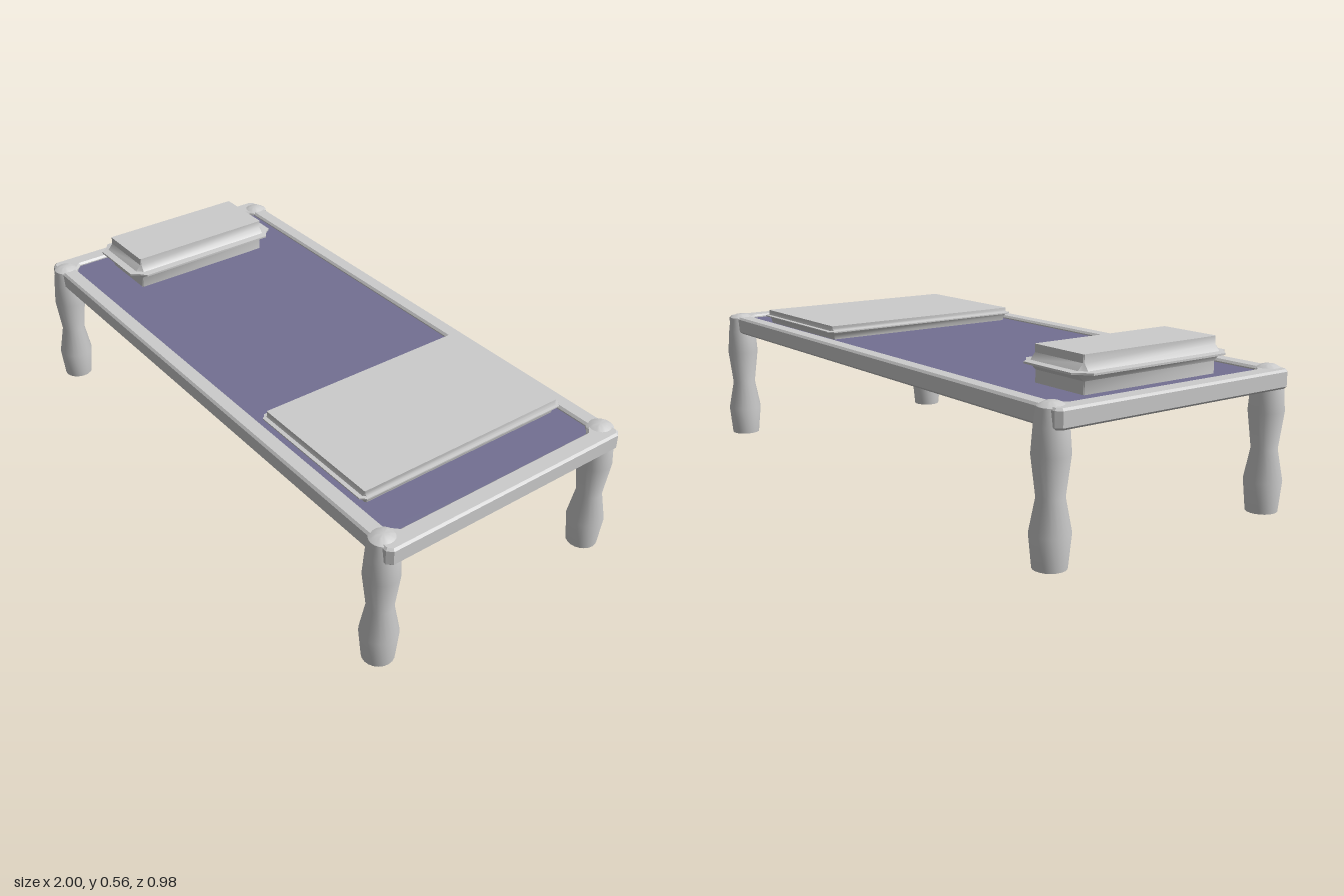
import * as THREE from 'three';
import { toCreasedNormals } from 'three/addons/utils/BufferGeometryUtils.js';

const grey = new THREE.MeshStandardMaterial({ color: 0xcccccc });
const cloth = new THREE.MeshStandardMaterial({ color: 0x737092 });

function add(parent, name, geometry, material = grey) {
  const mesh = new THREE.Mesh(geometry, material);
  mesh.name = name;
  parent.add(mesh);
  return mesh;
}

// Rectangle outline with chamfered corners
function outline(hx, hz, c, Type = THREE.Shape) {
  return new Type([
    [hx, hz - c], [hx - c, hz], [c - hx, hz], [-hx, hz - c],
    [-hx, c - hz], [c - hx, -hz], [hx - c, -hz], [hx, c - hz],
  ].map(([x, y]) => new THREE.Vector2(x, y)));
}

// Lofted cushion: each level is [y, half x, half z, corner notch]
function cushion(levels) {
  const pos = [], index = [], n = 12;
  for (const [y, hx, hz, k] of levels) {
    const corner = [[hx, hz - k], [hx - k * 0.65, hz - k * 0.5], [hx - k, hz]];
    for (let q = 0; q < 4; q++) {
      const sx = q === 0 || q === 3 ? 1 : -1, sz = q < 2 ? 1 : -1;
      const pts = q % 2 ? [...corner].reverse() : corner;
      for (const [x, z] of pts) pos.push(x * sx, y, z * sz);
    }
  }
  for (let r = 0; r < levels.length - 1; r++) {
    for (let i = 0; i < n; i++) {
      const a = r * n + i, b = r * n + (i + 1) % n;
      index.push(a, a + n, b, b, a + n, b + n);
    }
  }
  // Bottom and top caps
  const top = (levels.length - 1) * n, mid = pos.length / 3;
  pos.push(0, levels[0][0], 0, 0, levels[levels.length - 1][0], 0);
  for (let i = 0; i < n; i++) {
    const j = (i + 1) % n;
    index.push(mid, i, j, mid + 1, top + j, top + i);
  }
  const geo = new THREE.BufferGeometry();
  geo.setAttribute('position', new THREE.Float32BufferAttribute(pos, 3));
  geo.setIndex(index);
  return toCreasedNormals(geo, 0.7);
}

export function createModel() {
  const group = new THREE.Group();

  // Bed frame with a softened edge and an open middle
  const bevel = 0.007;
  const frameShape = outline(0.998 - bevel, 0.457 - bevel, 0.012);
  frameShape.holes.push(outline(0.935 + bevel, 0.4 + bevel, 0.035, THREE.Path));
  const frameGeo = new THREE.ExtrudeGeometry(frameShape, {
    depth: 0.06 - 2 * bevel, bevelEnabled: true, bevelSize: bevel, bevelThickness: bevel, bevelSegments: 1,
  });
  frameGeo.rotateX(-Math.PI / 2);
  add(group, 'frame', frameGeo).position.y = 0.396 + bevel;

  // Stretched cloth panel
  const panelGeo = new THREE.ExtrudeGeometry(outline(0.942, 0.407, 0.036), { depth: 0.012, bevelEnabled: false });
  panelGeo.rotateX(-Math.PI / 2);
  add(group, 'clothPanel', panelGeo, cloth).position.y = 0.433;

  // Turned legs with domed tops
  const profile = [
    [0, 0], [0.05, 0], [0.06, 0.1], [0.041, 0.2], [0.056, 0.32],
    [0.05, 0.4], [0.043, 0.452], [0.022, 0.464], [0, 0.465],
  ].map(([x, y]) => new THREE.Vector2(x, y));
  const legGeo = toCreasedNormals(new THREE.LatheGeometry(profile, 20), 0.8);
  for (const sx of [1, -1]) {
    for (const sz of [1, -1]) {
      const name = (sz > 0 ? 'front' : 'back') + (sx > 0 ? 'Left' : 'Right') + 'Leg';
      add(group, name, legGeo).position.set(sx * 0.935, 0, sz * 0.428);
    }
  }

  // Folded blanket with a thin projecting seam
  add(group, 'blanket', cushion([
    [0.445, 0.235, 0.372, 0.004], [0.462, 0.238, 0.376, 0.004],
    [0.47, 0.243, 0.384, 0.008], [0.471, 0.253, 0.397, 0.016],
    [0.475, 0.253, 0.397, 0.016], [0.476, 0.243, 0.384, 0.008],
    [0.484, 0.24, 0.38, 0.002], [0.493, 0.24, 0.38, 0.002],
  ])).position.x = 0.553;

  // Pillow with a thin projecting seam
  add(group, 'pillow', cushion([
    [0.445, 0.108, 0.26, 0.003], [0.484, 0.108, 0.26, 0.003],
    [0.505, 0.124, 0.28, 0.02], [0.507, 0.149, 0.305, 0.045],
    [0.513, 0.149, 0.305, 0.045], [0.515, 0.124, 0.28, 0.02],
    [0.535, 0.108, 0.262, 0.003], [0.56, 0.108, 0.262, 0.003],
  ])).position.x = -0.763;

  return group;
}
